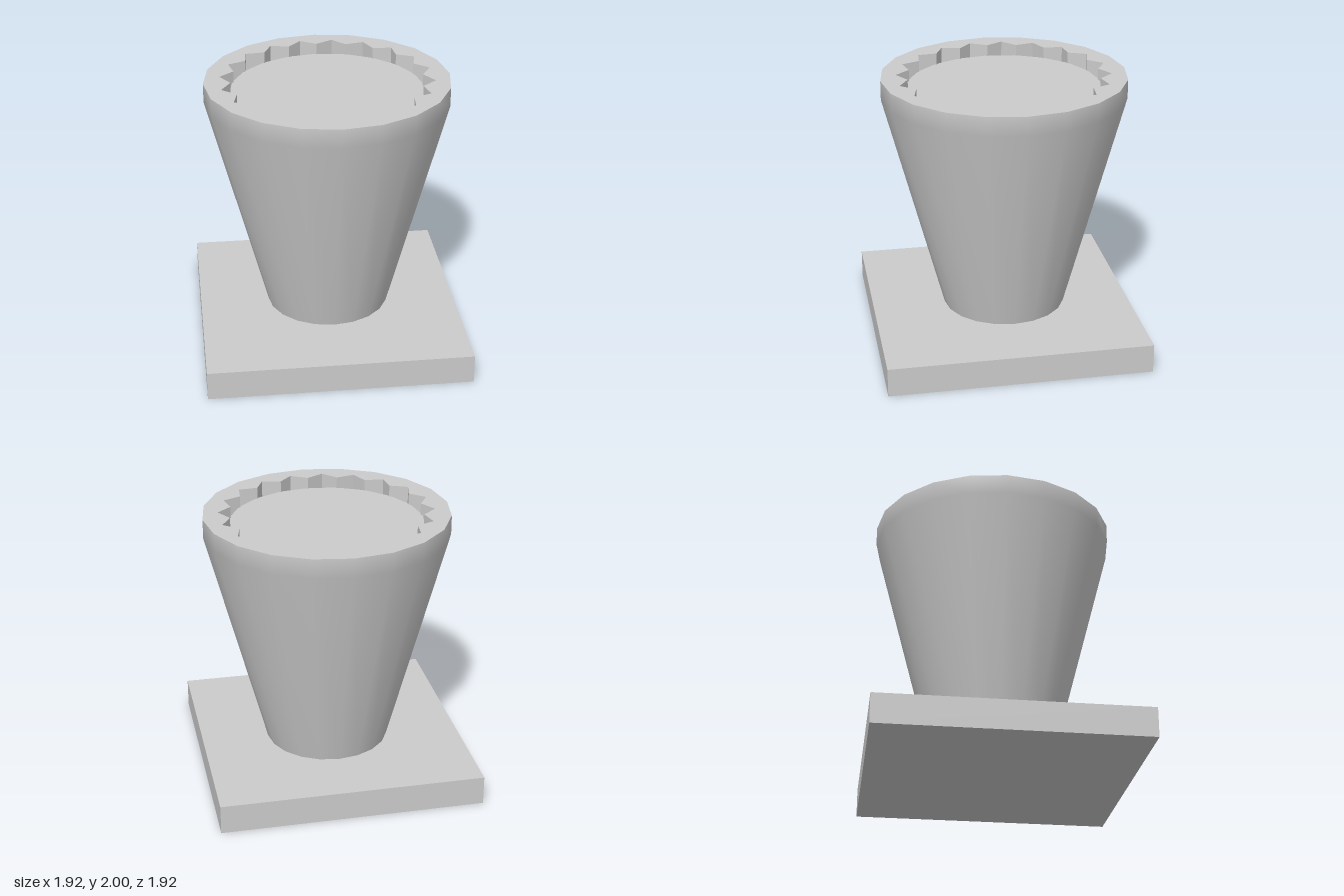
import * as THREE from 'three';

const SIDES = 20;
const TOP = 2, RIM_BOTTOM = 1.86, BASE_TOP = 0.215, SOIL_TOP = 1.915;
const RIM_RADIUS = 0.888, FOOT_RADIUS = 0.455;
const TOOTH_IN = 0.693, TOOTH_OUT = 0.774;

// Radius of the toothed inner edge at step i (two steps per tooth)
const toothRadius = (i) => (i % 2 ? TOOTH_OUT : TOOTH_IN);

function polygon(count, radiusAt) {
  return Array.from({ length: count }, (_, i) => {
    const a = (i / count) * Math.PI * 2;
    const r = radiusAt(i);
    return new THREE.Vector2(Math.sin(a) * r, Math.cos(a) * r);
  });
}

export function createModel() {
  const model = new THREE.Group();
  const smooth = new THREE.MeshStandardMaterial({ color: 0xcccccc });
  const flat = new THREE.MeshStandardMaterial({ color: 0xcccccc, flatShading: true });
  const inner = new THREE.MeshStandardMaterial({ color: 0xcccccc, flatShading: true, side: THREE.DoubleSide });

  const add = (parent, name, geometry, material, y = 0) => {
    const mesh = new THREE.Mesh(geometry, material);
    mesh.name = name;
    mesh.position.y = y;
    parent.add(mesh);
    return mesh;
  };

  // Square base slab
  add(model, 'base', new THREE.BoxGeometry(1.92, BASE_TOP, 1.92), flat, BASE_TOP / 2);

  // Tapered pot, slightly off centre on the slab
  const pot = new THREE.Group();
  pot.name = 'pot';
  pot.position.set(0.01, 0, -0.037);
  model.add(pot);

  // Smooth outer wall with a short upright rim
  const profile = [
    new THREE.Vector2(FOOT_RADIUS, BASE_TOP),
    new THREE.Vector2(RIM_RADIUS, RIM_BOTTOM),
    new THREE.Vector2(RIM_RADIUS, TOP),
  ];
  add(pot, 'outerWall', new THREE.LatheGeometry(profile, SIDES), smooth);

  // Flat top of the rim, cut out by the toothed opening
  const rimShape = new THREE.Shape(polygon(SIDES, () => RIM_RADIUS));
  rimShape.holes.push(new THREE.Path(polygon(SIDES * 2, toothRadius)));
  add(pot, 'rimTop', new THREE.ShapeGeometry(rimShape).rotateX(-Math.PI / 2), flat, TOP);

  // Toothed inner wall: every second column is pushed outwards
  const teeth = new THREE.CylinderGeometry(1, 1, TOP - RIM_BOTTOM, SIDES * 2, 1, true);
  const pos = teeth.attributes.position;
  for (let i = 0; i < pos.count; i++) {
    const r = toothRadius(i % (SIDES * 2 + 1));
    pos.setXYZ(i, pos.getX(i) * r, pos.getY(i), pos.getZ(i) * r);
  }
  add(pot, 'innerTeeth', teeth, inner, (TOP + RIM_BOTTOM) / 2);

  // Floor of the grooves, and the raised filling disc above it
  add(pot, 'grooveFloor', new THREE.CircleGeometry(TOOTH_OUT, SIDES * 2).rotateX(-Math.PI / 2), flat, RIM_BOTTOM);
  add(pot, 'filling', new THREE.CylinderGeometry(0.705, 0.705, SOIL_TOP - RIM_BOTTOM, SIDES, 1),
    flat, (SOIL_TOP + RIM_BOTTOM) / 2);

  return model;
}
